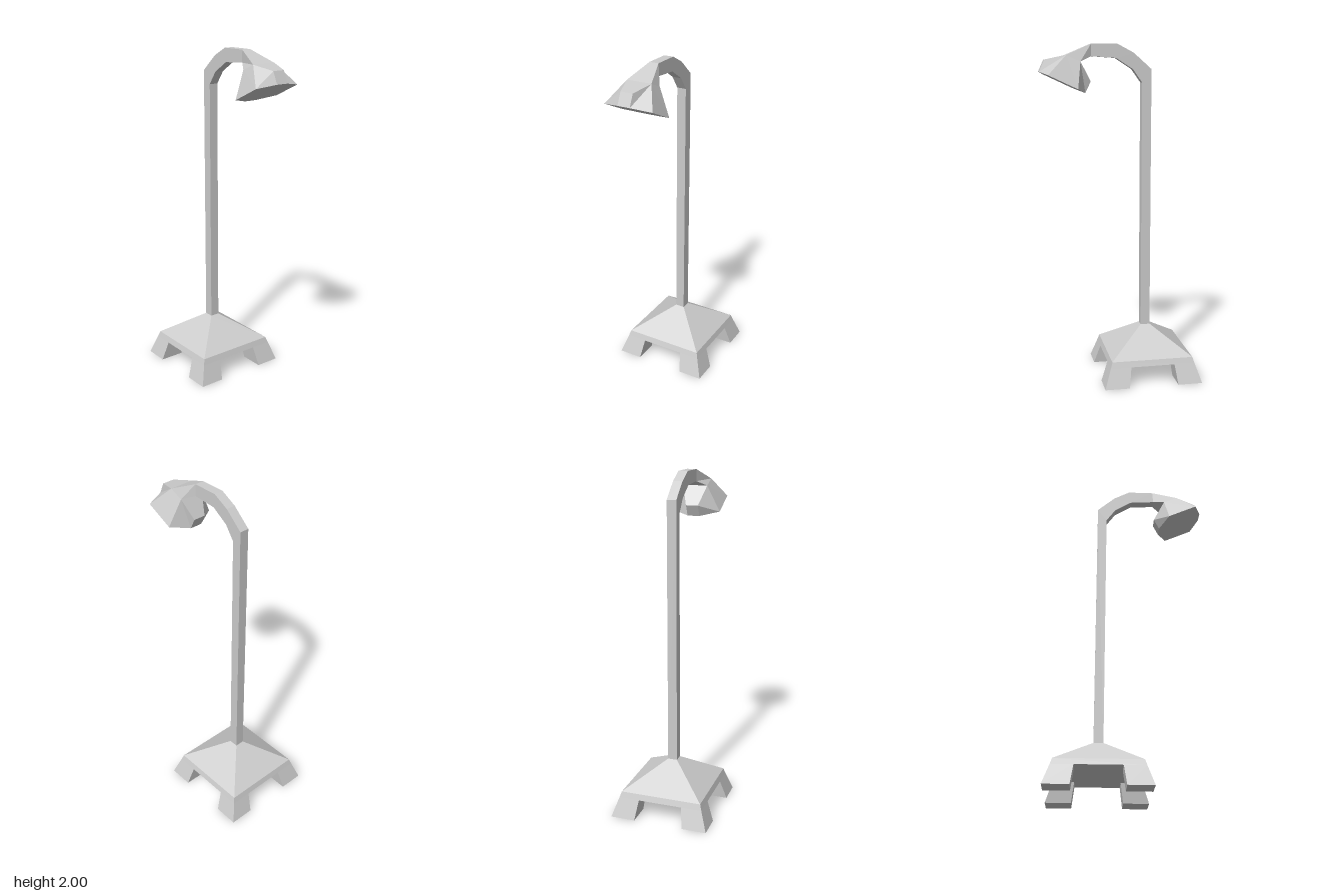
import * as THREE from 'three';

const material = new THREE.MeshStandardMaterial({ color: 0xcccccc, flatShading: true });
const BASE_Z = -0.168;
const POLE = 0.028; // half width of the pole

function part(name, geometry) {
  const mesh = new THREE.Mesh(geometry, material);
  mesh.name = name;
  return mesh;
}

// Square pyramid foot plate, with a sloped band around its lower edge
function createBase() {
  const profile = [[0, 0.115], [0.256, 0.115], [0.245, 0.15], [POLE, 0.3]]
    .map(([r, y]) => new THREE.Vector2(r * Math.SQRT2, y));
  return part('base', new THREE.LatheGeometry(profile, 4, Math.PI / 4));
}

// Tapered corner foot: a box whose lower corners flare outwards
function createFootGeometry() {
  const geometry = new THREE.BoxGeometry(1, 1, 1);
  const p = geometry.attributes.position;
  for (let i = 0; i < p.count; i++) {
    const [inner, outer] = p.getY(i) > 0 ? [0.132, 0.256] : [0.148, 0.295];
    p.setXYZ(i,
      p.getX(i) > 0 ? outer : inner,
      p.getY(i) > 0 ? 0.115 : 0,
      p.getZ(i) > 0 ? outer : inner);
  }
  geometry.computeVertexNormals();
  return geometry;
}

// Upright pole and curved arm, outlined in side view (z, y) and extruded across x
function createPole() {
  const outline = [
    [-0.196, 0.29], [-0.14, 0.29], [-0.14, 1.78], [-0.085, 1.857], [0.014, 1.92], [0.16, 1.93],
    [0.16, 2], [0.005, 2], [-0.09, 1.95], [-0.196, 1.857],
  ].map(([z, y]) => new THREE.Vector2(z, y));
  const geometry = new THREE.ExtrudeGeometry(new THREE.Shape(outline), { depth: 2 * POLE, bevelEnabled: false });
  geometry.rotateY(-Math.PI / 2).translate(POLE, 0, 0);
  return part('poleAndArm', geometry);
}

// Faceted lamp head: one side's corners, mirrored and joined across the middle
function createLampHead() {
  const side = [
    [POLE, 2, 0.16],        // 0 arm top
    [POLE, 1.93, 0.16],     // 1 arm underside
    [0.075, 1.935, 0.31],   // 2 crown front
    [0.075, 1.9, 0.228],    // 3 crown back
    [0.037, 1.91, 0.43],    // 4 front lip top
    [0.037, 1.842, 0.461],  // 5 rim front
    [0.147, 1.824, 0.42],   // 6 rim side front
    [0.147, 1.746, 0.252],  // 7 rim side back
    [0.037, 1.722, 0.196],  // 8 rim back
    [0.037, 1.787, 0.164],  // 9 back lip top
  ];
  const n = side.length;
  const corners = [...side, ...side.map(([x, y, z]) => [-x, y, z])];
  const positions = [];
  const quad = (a, b, c, d) => [a, b, c, a, c, d].forEach((i) => positions.push(...corners[i]));

  // Side facets and their mirror images
  for (const face of [[0, 2, 3, 1], [2, 6, 7, 3], [2, 4, 5, 6], [3, 7, 8, 9]]) {
    quad(...face);
    quad(...face.map((i) => i + n).reverse());
  }
  // Strip across the middle: top, front lip, underside, back lip, neck
  const loop = [0, 2, 4, 5, 6, 7, 8, 9, 3, 1];
  for (let k = 0; k < loop.length - 1; k++) {
    const a = loop[k], b = loop[k + 1];
    quad(a, a + n, b + n, b);
  }
  const geometry = new THREE.BufferGeometry();
  geometry.setAttribute('position', new THREE.Float32BufferAttribute(positions, 3));
  geometry.computeVertexNormals();
  return part('lampHead', geometry);
}

export function createModel() {
  const model = new THREE.Group();
  model.name = 'streetLamp';

  const stand = new THREE.Group();
  stand.name = 'stand';
  stand.position.z = BASE_Z;
  stand.add(createBase());
  const footGeometry = createFootGeometry();
  for (let i = 0; i < 4; i++) {
    const foot = part('foot', footGeometry);
    foot.rotation.y = i * Math.PI / 2;
    stand.add(foot);
  }

  model.add(stand, createPole(), createLampHead());
  return model;
}
